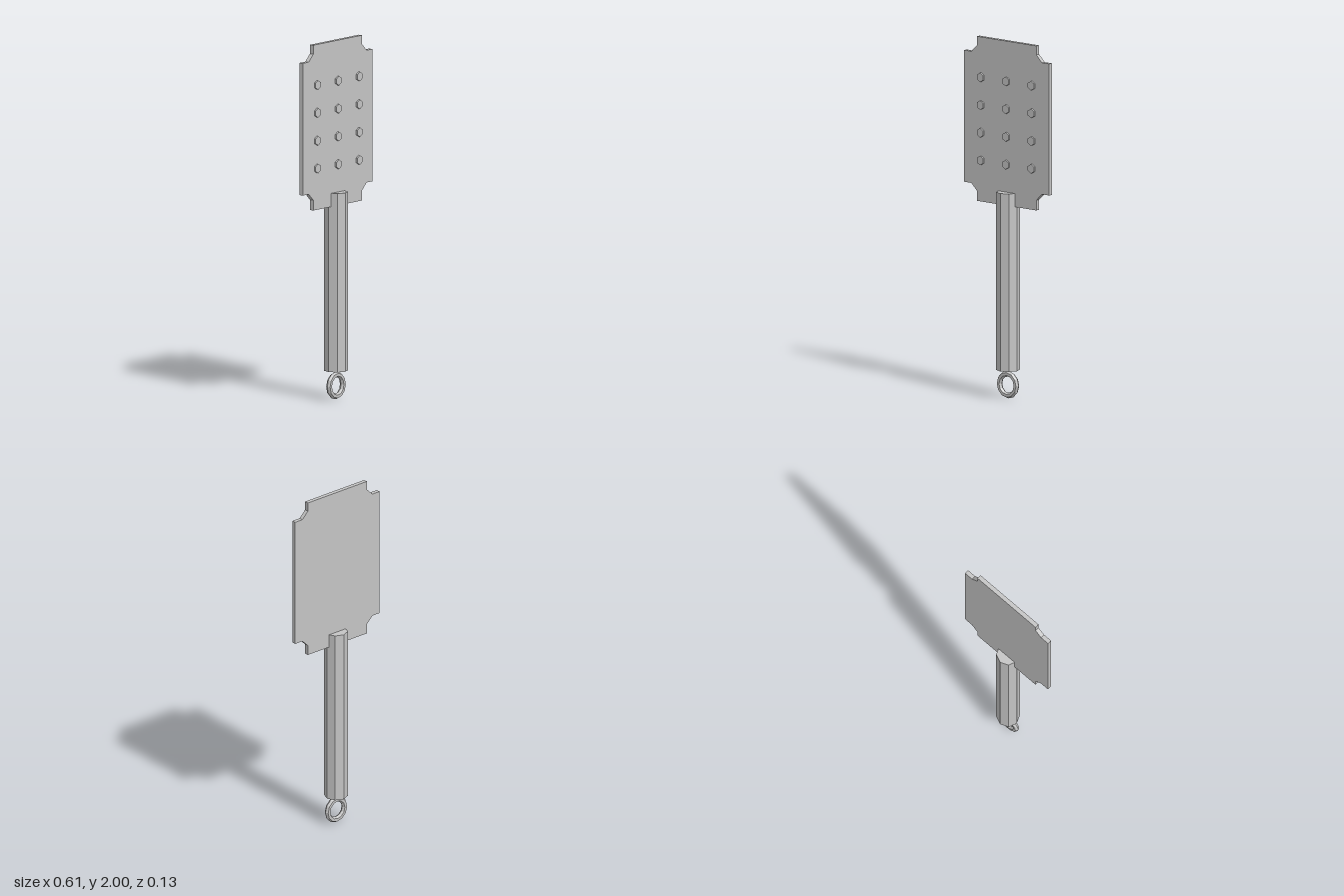
import * as THREE from 'three';

export function createModel() {
  const group = new THREE.Group();
  const metal = new THREE.MeshStandardMaterial({ color: 0xc4c4c4, flatShading: true });
  metal.name = 'light grey metal';

  const add = (name, geometry, x, y, z) => {
    const mesh = new THREE.Mesh(geometry, metal);
    mesh.name = name;
    mesh.position.set(x, y, z);
    group.add(mesh);
    return mesh;
  };

  // Flat head with notched corners: right half outline, mirrored to the left
  const half = [
    [0.215, 1.08], [0.215, 1.137], [0.255, 1.175], [0.307, 1.175],
    [0.307, 1.911], [0.255, 1.911], [0.215, 1.95], [0.215, 2],
  ];
  const mirrored = half.map(([x, y]) => [-x, y]).reverse();
  const outline = new THREE.Shape([...half, ...mirrored].map(([x, y]) => new THREE.Vector2(x, y)));
  add('head', new THREE.ExtrudeGeometry(outline, { depth: 0.024, bevelEnabled: false }), 0, 0, -0.013);

  // Hexagonal studs on the front of the head
  const studGeometry = new THREE.CylinderGeometry(0.026, 0.026, 0.014, 6).rotateX(Math.PI / 2);
  for (const y of [1.31, 1.465, 1.62, 1.775]) {
    for (const x of [-0.184, 0, 0.184]) add('stud', studGeometry, x, y, 0.014);
  }

  // Octagonal handle
  add('handle', new THREE.CylinderGeometry(0.065, 0.065, 0.995, 8), 0, 0.6575, -0.001);

  // Hanging ring
  add('hangingRing', new THREE.TorusGeometry(0.061, 0.016, 6, 12), 0, 0.077, -0.001);

  return group;
}
